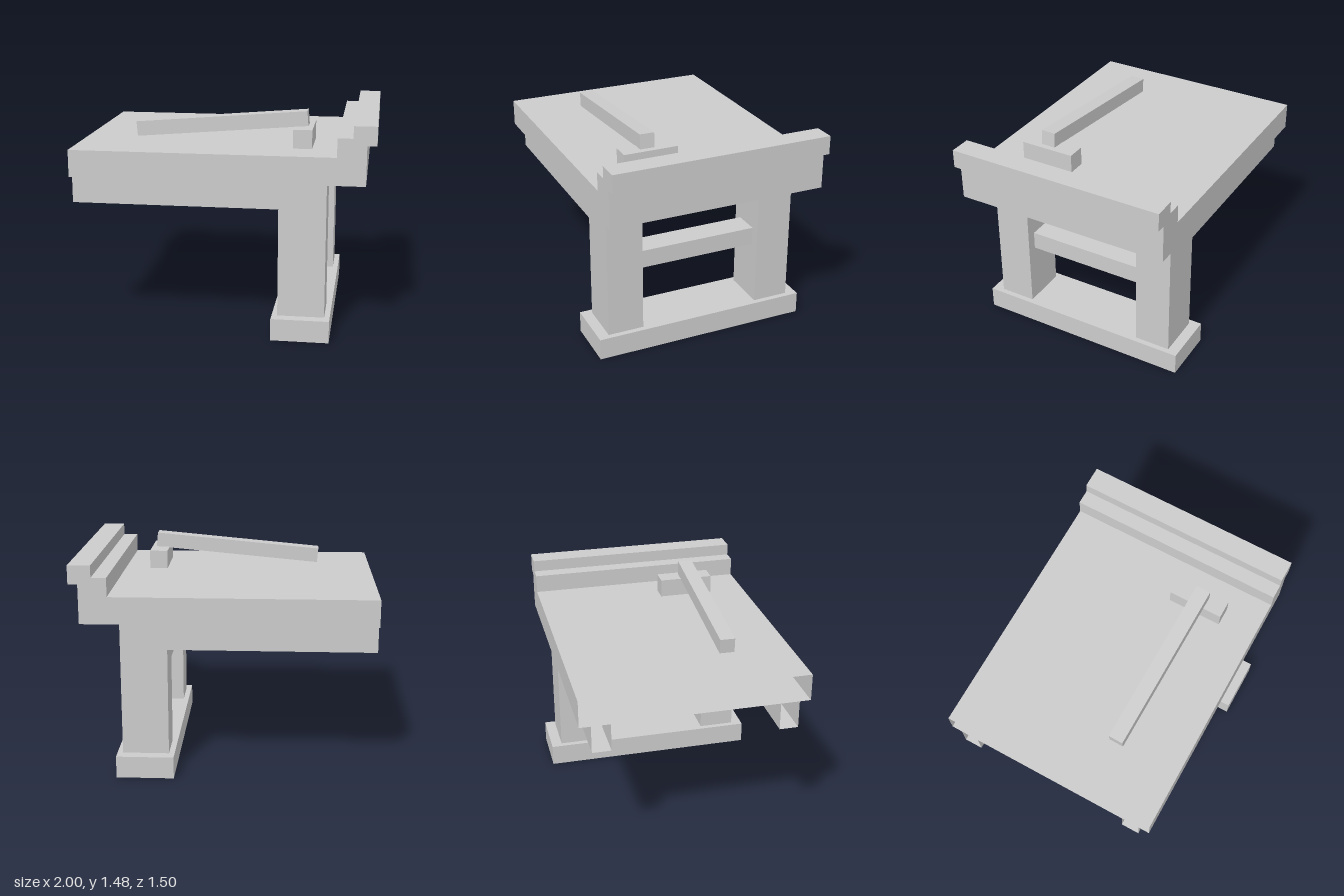
import * as THREE from 'three';

const grey = new THREE.MeshStandardMaterial({ color: 0xcccccc, flatShading: true });
const shell = new THREE.MeshStandardMaterial({ color: 0xcccccc, flatShading: true, side: THREE.DoubleSide });

// Removes the end faces lying on the plane x = -1
function openEnd(geometry) {
  const g = geometry.index ? geometry.toNonIndexed() : geometry;
  const p = g.attributes.position;
  const kept = [];
  for (let i = 0; i < p.count; i += 3) {
    const onEnd = [i, i + 1, i + 2].every((k) => p.getX(k) < -0.999);
    if (onEnd) continue;
    for (let k = i; k < i + 3; k++) kept.push(p.getX(k), p.getY(k), p.getZ(k));
  }
  const open = new THREE.BufferGeometry();
  open.setAttribute('position', new THREE.Float32BufferAttribute(kept, 3));
  open.computeVertexNormals();
  return open;
}

// Box geometry from its lower and upper corners
function boxBetween(x0, x1, y0, y1, z0, z1) {
  return new THREE.BoxGeometry(x1 - x0, y1 - y0, z1 - z0)
    .translate((x0 + x1) / 2, (y0 + y1) / 2, (z0 + z1) / 2);
}

export function createModel() {
  const group = new THREE.Group();
  const add = (name, geometry, material = grey) => {
    const mesh = new THREE.Mesh(geometry, material);
    mesh.name = name;
    group.add(mesh);
    return mesh;
  };

  // Table top with a stepped, overhanging rim, open at the far end
  const profile = new THREE.Shape([
    [-1, 1.068], [0.937, 1.068], [0.937, 1.33], [1, 1.33], [1, 1.455],
    [0.85, 1.455], [0.85, 1.375], [0.75, 1.375], [0.75, 1.25], [-1, 1.25],
  ].map(([x, y]) => new THREE.Vector2(x, y)));
  const top = new THREE.ExtrudeGeometry(profile, { depth: 1.5, bevelEnabled: false });
  top.translate(0, 0, -0.75);
  add('tableTop', openEnd(top), shell);

  // Thin mat lying on the top
  const mat = new THREE.PlaneGeometry(1.1, 1.06).rotateX(-Math.PI / 2);
  add('mat', mat.translate(-0.2, 1.2515, 0.01), shell);

  // Legs and the open-ended beams under the top
  for (const s of [1, -1]) {
    const side = s > 0 ? 'left' : 'right';
    const leg = boxBetween(0.375, 0.687, 0.15, 1.068, -0.125, 0.125);
    add(side + 'Leg', leg.translate(0, 0, s * 0.55));
    const beam = openEnd(boxBetween(-1, 0.375, 0.88, 1.068, -0.0625, 0.0625));
    add(side + 'Beam', beam.translate(0, 0, s * 0.6125), shell);
  }

  // Foot and stretcher
  add('foot', boxBetween(0.337, 0.724, 0, 0.15, -0.75, 0.75));
  add('stretcher', boxBetween(0.44, 0.62, 0.565, 0.69, -0.425, 0.425));

  // Block with the slanted bar resting on it
  add('restBlock', boxBetween(0.45, 0.575, 1.25, 1.375, 0.125, 0.5));
  const bar = add('bar', new THREE.BoxGeometry(1.168, 0.1, 0.1));
  bar.position.set(-0.045, 1.378, 0.312);
  bar.rotation.set(0, -0.02, 0.087);

  return group;
}
